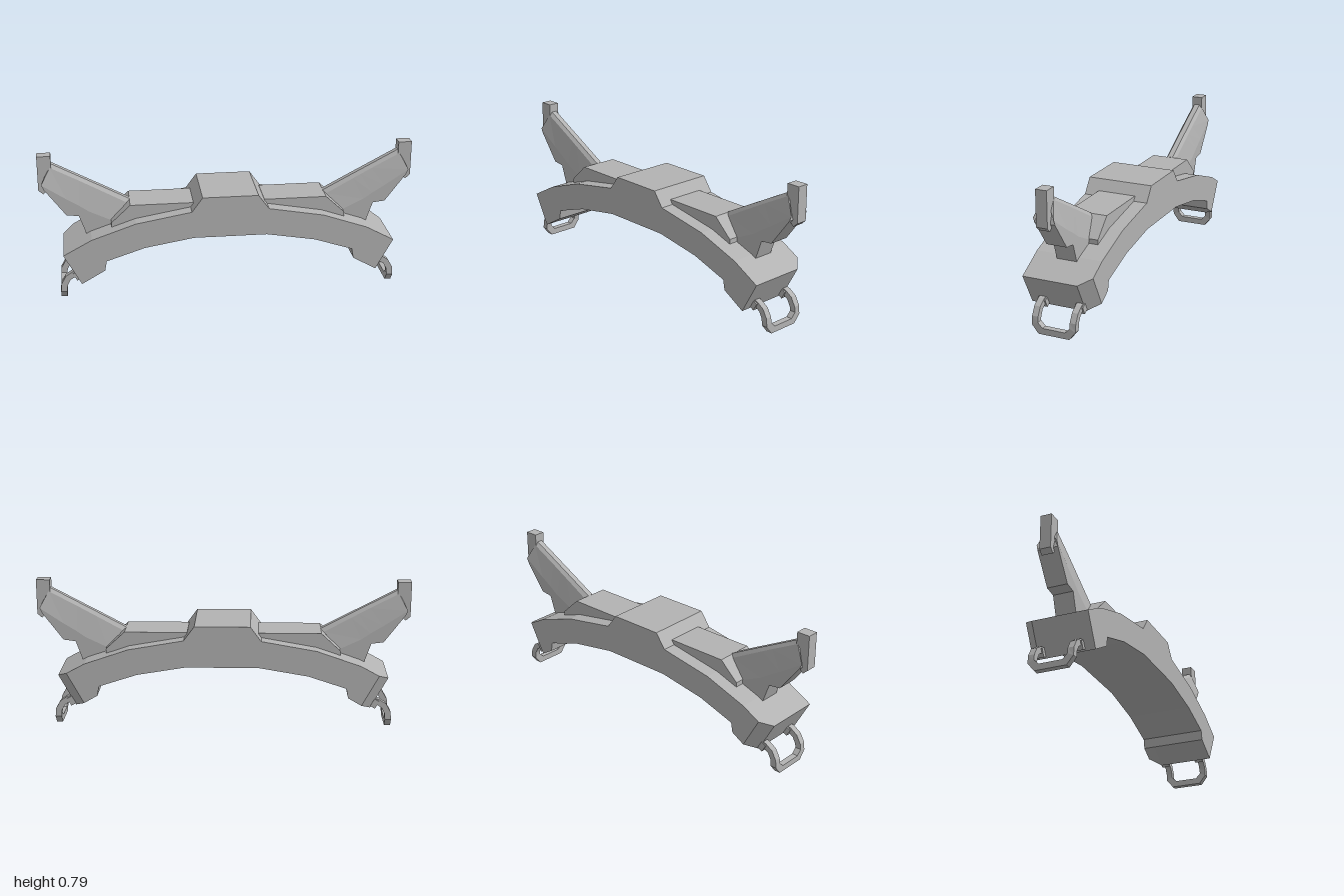
import * as THREE from 'three';

const grey = new THREE.MeshStandardMaterial({ color: 0xb2b2b2 });
grey.name = 'plain grey';

function mesh(name, geometry) {
  const m = new THREE.Mesh(geometry, grey);
  m.name = name;
  return m;
}

// Front outline extruded symmetrically about z = 0
function slab(points, width, steps = 1) {
  const shape = new THREE.Shape(points.map(([x, y]) => new THREE.Vector2(x, y)));
  return new THREE.ExtrudeGeometry(shape, { depth: width, steps, bevelEnabled: false })
    .translate(0, 0, -width / 2);
}

// Closed, flat-shaded skin through equal-sized rings of [x, y, z] corners
function loft(rings) {
  const n = rings[0].length, last = rings.length - 1, tris = [];
  for (let i = 0; i < last; i++) {
    for (let j = 0; j < n; j++) {
      const k = (j + 1) % n;
      const a = rings[i][j], b = rings[i][k], c = rings[i + 1][k], d = rings[i + 1][j];
      tris.push([a, b, c], [a, c, d]);
    }
  }
  for (let j = 1; j < n - 1; j++) {
    tris.push([rings[0][0], rings[0][j + 1], rings[0][j]]);
    tris.push([rings[last][0], rings[last][j], rings[last][j + 1]]);
  }
  // Turn the faces outward, using the signed volume
  const v = (p) => new THREE.Vector3(...p);
  const volume = tris.reduce((s, [a, b, c]) => s + v(a).dot(v(b).cross(v(c))), 0);
  if (volume < 0) tris.forEach((t) => t.reverse());
  const g = new THREE.BufferGeometry();
  g.setAttribute('position', new THREE.Float32BufferAttribute(tris.flat(2), 3));
  g.computeVertexNormals();
  return g;
}

// Arched bridge with its rear end corners cut off
function makeBridge() {
  const half = [
    [0.148, 0.574], [0.205, 0.496], [0.5, 0.444], [0.735, 0.363], [0.886, 0.281],
    [0.795, 0.113], [0.67, 0.185], [0.66, 0.238], [0.455, 0.305], [0.195, 0.349],
  ];
  const outline = [...half, ...half.map(([x, y]) => [-x, y]).reverse()];
  const g = slab(outline, 0.36, 6);
  const p = g.attributes.position;
  for (let i = 0; i < p.count; i++) {
    if (p.getZ(i) > -0.17) continue;
    const x = p.getX(i), y = p.getY(i), s = Math.sign(x);
    if (Math.abs(x) > 0.88) p.setXY(i, s * 0.832, 0.31);
    else if (Math.abs(x) > 0.78 && y < 0.15) p.setXY(i, s * 0.742, 0.143);
  }
  g.computeVertexNormals();
  return mesh('archedBridge', g);
}

// Raking arm: ridge, crest, widest line and underside at each station
function makeArm() {
  const stations = [
    [[0.522, 0.522], [0.54, 0.508], [0.625, 0.42], [0.64, 0.36]],
    [[0.68, 0.607], [0.685, 0.588], [0.74, 0.475], [0.76, 0.35]],
    [[0.72, 0.628], [0.725, 0.61], [0.79, 0.51], [0.795, 0.452]],
    [[0.78, 0.66], [0.785, 0.643], [0.855, 0.55], [0.86, 0.46]],
    [[0.93, 0.74], [0.935, 0.722], [0.983, 0.635], [0.972, 0.61]],
  ];
  const widths = [0.015, 0.03, 0.055, 0.055];
  const rings = stations.map((s) => {
    const front = s.map(([x, y], i) => [x, y, widths[i]]);
    return [...front, ...front.map(([x, y, z]) => [x, y, -z]).reverse()];
  });
  return mesh('arm', loft(rings));
}

// Hooked loop: centre [x, y, z], thickness vector in x-y, width vector in y-z
function makeLoop() {
  const leg = [
    [[0.79, 0.155, 0.104], [0.006, 0.016], [0, 0.0165]],
    [[0.832, 0.146, 0.104], [0.008, 0.014], [0, 0.0165]],
    [[0.868, 0.123, 0.104], [0.012, 0.011], [0, 0.0165]],
    [[0.889, 0.085, 0.104], [0.0165, 0.004], [0, 0.0165]],
    [[0.893, 0.052, 0.104], [0.0165, 0], [-0.0075, 0.0165]],
    [[0.893, 0.0165, 0.0735], [0.0165, 0], [-0.0165, 0.0115]],
  ];
  const corners = [[1, 1], [1, -1], [-1, -1], [-1, 1]];
  const rings = leg.map(([c, u, v]) => corners.map(([a, b]) =>
    [c[0] + a * u[0], c[1] + a * u[1] + b * v[0], c[2] + b * v[1]]));
  const mirrored = rings.map((r) => r.map(([x, y, z]) => [x, y, -z])).reverse();
  return mesh('hookLoop', loft([...rings, ...mirrored]));
}

function makeSide(name) {
  const side = new THREE.Group();
  side.name = name;
  side.add(mesh('raisedPad', slab(
    [[0.19, 0.42], [0.19, 0.52], [0.525, 0.52], [0.627, 0.425], [0.627, 0.395]], 0.21)));
  side.add(makeArm());
  side.add(mesh('armTip', slab(
    [[0.928, 0.785], [1, 0.785], [1, 0.597], [0.975, 0.575], [0.928, 0.62]], 0.06)));
  side.add(makeLoop());
  // Sockets where the loop enters the bridge end
  for (const z of [0.104, -0.104]) {
    const collar = mesh('loopCollar', new THREE.BoxGeometry(0.03, 0.046, 0.046));
    collar.position.set(0.818, 0.136, z);
    collar.rotation.z = -0.5;
    side.add(collar);
  }
  return side;
}

export function createModel() {
  const model = new THREE.Group();
  model.name = 'archedBracket';
  model.add(makeBridge());
  const left = makeSide('leftSide');
  const right = makeSide('rightSide');
  right.rotation.y = Math.PI; // side parts are symmetric in z, so a half turn mirrors them
  model.add(left, right);
  return model;
}
